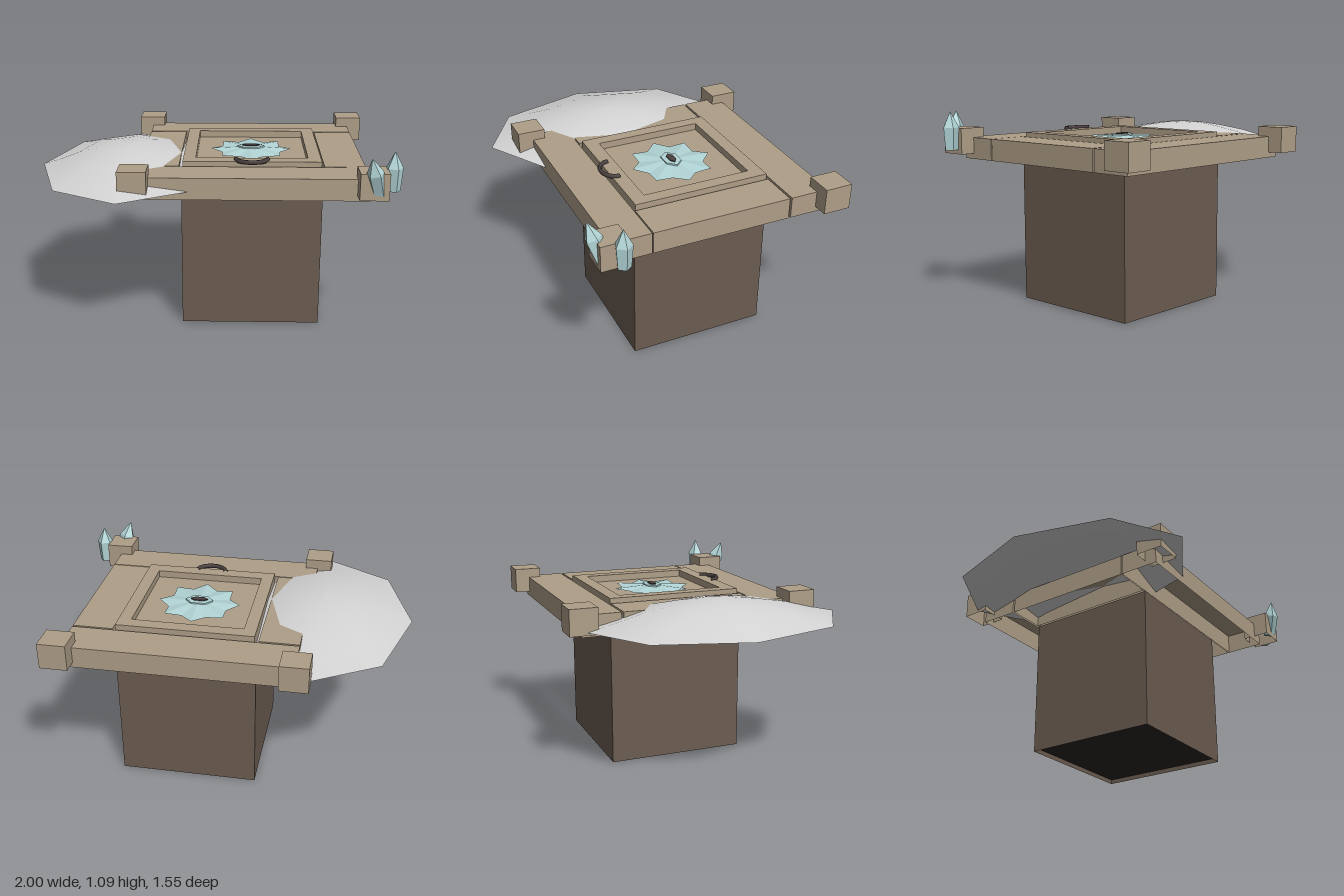
import * as THREE from 'three';

const mat = (name, color, opts = {}) => {
  const m = new THREE.MeshStandardMaterial({ color, ...opts });
  m.name = name;
  return m;
};

export function createModel() {
  const root = new THREE.Group();
  root.name = 'snowyHatch';
  const stone = mat('sandstone', 0xae9e87, { side: THREE.DoubleSide });
  const earth = mat('shaftBrown', 0x6b5c50, { side: THREE.DoubleSide });
  const dark = mat('darkFloor', 0x2a2324);
  const iron = mat('iron', 0x4b4040);
  const ice = mat('ice', 0xb2d4d6, { flatShading: true, side: THREE.DoubleSide });
  const snow = mat('snow', 0xd4d4d5, { side: THREE.DoubleSide });

  const add = (name, geo, material, x = 0, y = 0, z = 0) => {
    const mesh = new THREE.Mesh(geo, material);
    mesh.name = name;
    mesh.position.set(x, y, z);
    root.add(mesh);
    return mesh;
  };

  // Box given by its limits, with the underside left open
  const openBox = (name, material, x0, x1, y0, y1, z0, z1) => {
    const g = new THREE.BoxGeometry(x1 - x0, y1 - y0, z1 - z0);
    const idx = Array.from(g.index.array);
    idx.splice(18, 6);
    g.setIndex(idx);
    g.clearGroups();
    return add(name, g, material, (x0 + x1) / 2, (y0 + y1) / 2, (z0 + z1) / 2);
  };

  // Shaft and its dark floor
  openBox('shaft', earth, -0.18, 0.605, 0, 0.82, -0.46, 0.33);
  add('shaftFloor', new THREE.BoxGeometry(0.78, 0.008, 0.785), dark, 0.2125, 0.03, -0.065);

  // Frame beams
  openBox('backBeam', stone, -0.415, 0.835, 0.82, 0.94, -0.695, -0.472);
  openBox('frontBeam', stone, -0.415, 0.835, 0.82, 0.94, 0.332, 0.555);
  openBox('rightBeam', stone, -0.415, -0.192, 0.82, 0.94, -0.46, 0.325);
  openBox('leftBeam', stone, 0.61, 0.835, 0.82, 0.94, -0.46, 0.325);

  // Corner posts
  for (const x of [-0.42, 0.842])
    for (const z of [-0.703, 0.562])
      openBox('cornerPost', stone, x - 0.077, x + 0.077, 0.85, 0.995, z - 0.077, z + 0.079);

  // Hatch lid: raised rim around a sunken panel
  const rect = (P, x0, x1, z0, z1) => {
    const p = new P();
    p.moveTo(x0, -z0);
    p.lineTo(x0, -z1);
    p.lineTo(x1, -z1);
    p.lineTo(x1, -z0);
    p.closePath();
    return p;
  };
  const rim = rect(THREE.Shape, -0.172, 0.596, -0.457, 0.317);
  rim.holes.push(rect(THREE.Path, -0.102, 0.524, -0.382, 0.237));
  const rimGeo = new THREE.ExtrudeGeometry(rim, { depth: 0.145, bevelEnabled: false });
  rimGeo.rotateX(-Math.PI / 2);
  add('lidRim', rimGeo, stone, 0, 0.82, 0);
  add('lidPanel', new THREE.BoxGeometry(0.626, 0.1, 0.619), stone, 0.211, 0.875, -0.0725);

  // Eight-pointed ice star, each point slightly creased
  const star = [];
  const tip = (i) => {
    const a = (i * Math.PI) / 8, r = i % 2 ? 0.18 : 0.234;
    return [r * Math.cos(a), i % 2 ? 0 : 0.006, r * Math.sin(a)];
  };
  for (let i = 0; i < 16; i++) star.push(0, 0.02, 0, ...tip(i + 1), ...tip(i));
  const starGeo = new THREE.BufferGeometry();
  starGeo.setAttribute('position', new THREE.Float32BufferAttribute(star, 3));
  starGeo.computeVertexNormals();
  add('iceStar', starGeo, ice, 0.21, 0.932, -0.07);

  // Hexagonal eye in the middle of the star
  const hexPlate = (name, material, rx, rz, y) => {
    const g = new THREE.CylinderGeometry(1, 1, 0.009, 6);
    g.rotateY(Math.PI / 2);
    add(name, g, material, 0.21, y, -0.07).scale.set(rx, 1, rz);
  };
  hexPlate('starBoss', ice, 0.08, 0.052, 0.951);
  hexPlate('starPupil', iron, 0.05, 0.022, 0.957);

  // Curved pull handle
  const handle = new THREE.TorusGeometry(0.087, 0.013, 6, 12, Math.PI);
  handle.rotateX(Math.PI / 2);
  add('handle', handle, iron, 0.21, 0.97, 0.278).scale.z = 0.85;

  // Snow drift: low eight-sided dome
  const profile = [[1, 0], [0.8, 0.26], [0.58, 0.6], [0.34, 0.84], [0.17, 0.96], [0, 1]]
    .map(([r, h]) => new THREE.Vector2(r, h));
  add('snowDrift', new THREE.LatheGeometry(profile, 8), snow, -0.49, 0.865, 0.04)
    .scale.set(0.51, 0.125, 0.73);

  // Ice crystals by one corner
  const crystal = (base, top, turn) => {
    const from = new THREE.Vector3(...base), dir = new THREE.Vector3(...top).sub(from);
    const len = dir.length();
    const pts = [[0, 0], [0.038, 0], [0.047, len * 0.58], [0, len]]
      .map(([r, y]) => new THREE.Vector2(r, y));
    const g = new THREE.LatheGeometry(pts, 5);
    g.rotateY(turn);
    const m = add('iceCrystal', g, ice, ...base);
    m.quaternion.setFromUnitVectors(new THREE.Vector3(0, 1, 0), dir.normalize());
  };
  crystal([0.953, 0.875, 0.535], [0.953, 1.09, 0.535], Math.PI / 2);
  crystal([0.868, 0.88, 0.61], [0.815, 1.085, 0.668], 0.5);

  return root;
}
